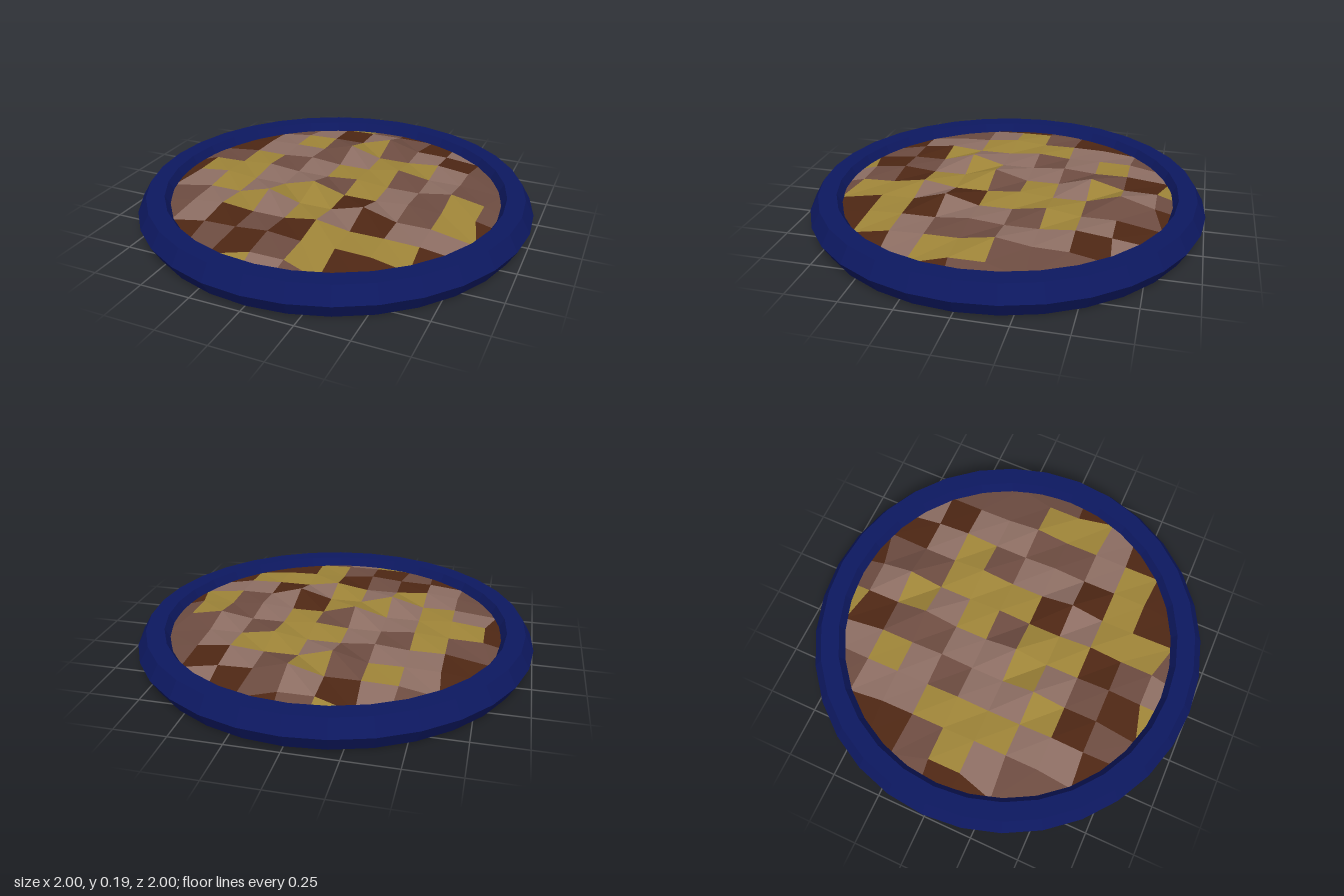
import * as THREE from 'three';

const STEP = 0.168;      // tile size
const N = 11;            // tiles per side
const DISC_R = 0.85;     // rim radius of the tiled surface
const COLORS = { D: 0x4e2714, M: 0x6d4c41, P: 0x8d6e63, O: 0x9e8438 };

// tile colours, back row first, left column at -x
const TILES = [
  '....OMD....',
  '..MPDPMDP..',
  '.DPOMOMPDM.',
  '.DPPMPOOPM.',
  'MMOMPOOMPMM',
  'DOOPPMOPMOM',
  'DPOPOODPMOD',
  '.MPOPOPDPP.',
  '.MPDMDOOOD.',
  '..DMDMODD..',
  '....OPM....',
];

// highest bumps, as column,row of the grid corners
const PEAKS = new Set(['4,7', '5,6', '6,2', '5,3', '7,7']);
const MINOR = new Set(['9,5', '7,4', '6,8']);

// grid corner: snapped to the rim near the edge, raised in diagonal ridges inside
function corner(i, j) {
  const x = (i - N / 2) * STEP;
  const z = (j - N / 2) * STEP;
  const r = Math.hypot(x, z);
  if (r > 0.79) return { x: x * DISC_R / r, y: 0.11, z: z * DISC_R / r, rim: true };
  const key = `${i},${j}`;
  let y = (i + j - N) % 3 === 0 ? 0.155 : 0.14;
  if (MINOR.has(key)) y = 0.167;
  if (PEAKS.has(key)) y = 0.187;
  if (r > 0.68) y = Math.min(y, 0.135);
  return { x, y, z, rim: false };
}

export function createModel() {
  const model = new THREE.Group();

  // faceted round frame
  const frame = new THREE.Mesh(
    new THREE.TorusGeometry(0.91, 0.09, 6, 32).rotateX(Math.PI / 2),
    new THREE.MeshStandardMaterial({ color: 0x0d1860, flatShading: true })
  );
  frame.name = 'frame';
  frame.position.y = 0.078;
  model.add(frame);

  // plain disc under the tiles
  const base = new THREE.Mesh(
    new THREE.CylinderGeometry(DISC_R, DISC_R, 0.09, 32),
    new THREE.MeshStandardMaterial({ color: 0xcccccc, flatShading: true })
  );
  base.name = 'base';
  base.position.y = 0.055;
  model.add(base);

  // bumpy tiled surface, one mesh per colour
  const surface = new THREE.Group();
  surface.name = 'tiledSurface';
  const points = { D: [], M: [], P: [], O: [] };
  for (let j = 0; j < N; j++) {
    for (let i = 0; i < N; i++) {
      const list = points[TILES[j][i]];
      if (!list) continue;
      const a = corner(i, j), b = corner(i, j + 1);
      const c = corner(i + 1, j + 1), d = corner(i + 1, j);
      if ([a, b, c, d].every(p => p.rim)) continue;
      for (const p of [a, b, c, a, c, d]) list.push(p.x, p.y, p.z);
    }
  }
  const names = { D: 'darkTiles', M: 'brownTiles', P: 'paleTiles', O: 'oliveTiles' };
  for (const key of Object.keys(points)) {
    const geometry = new THREE.BufferGeometry();
    geometry.setAttribute('position', new THREE.Float32BufferAttribute(points[key], 3));
    geometry.computeVertexNormals();
    const mesh = new THREE.Mesh(geometry, new THREE.MeshStandardMaterial({
      color: COLORS[key], flatShading: true, side: THREE.DoubleSide,
    }));
    mesh.name = names[key];
    surface.add(mesh);
  }
  model.add(surface);
  return model;
}
